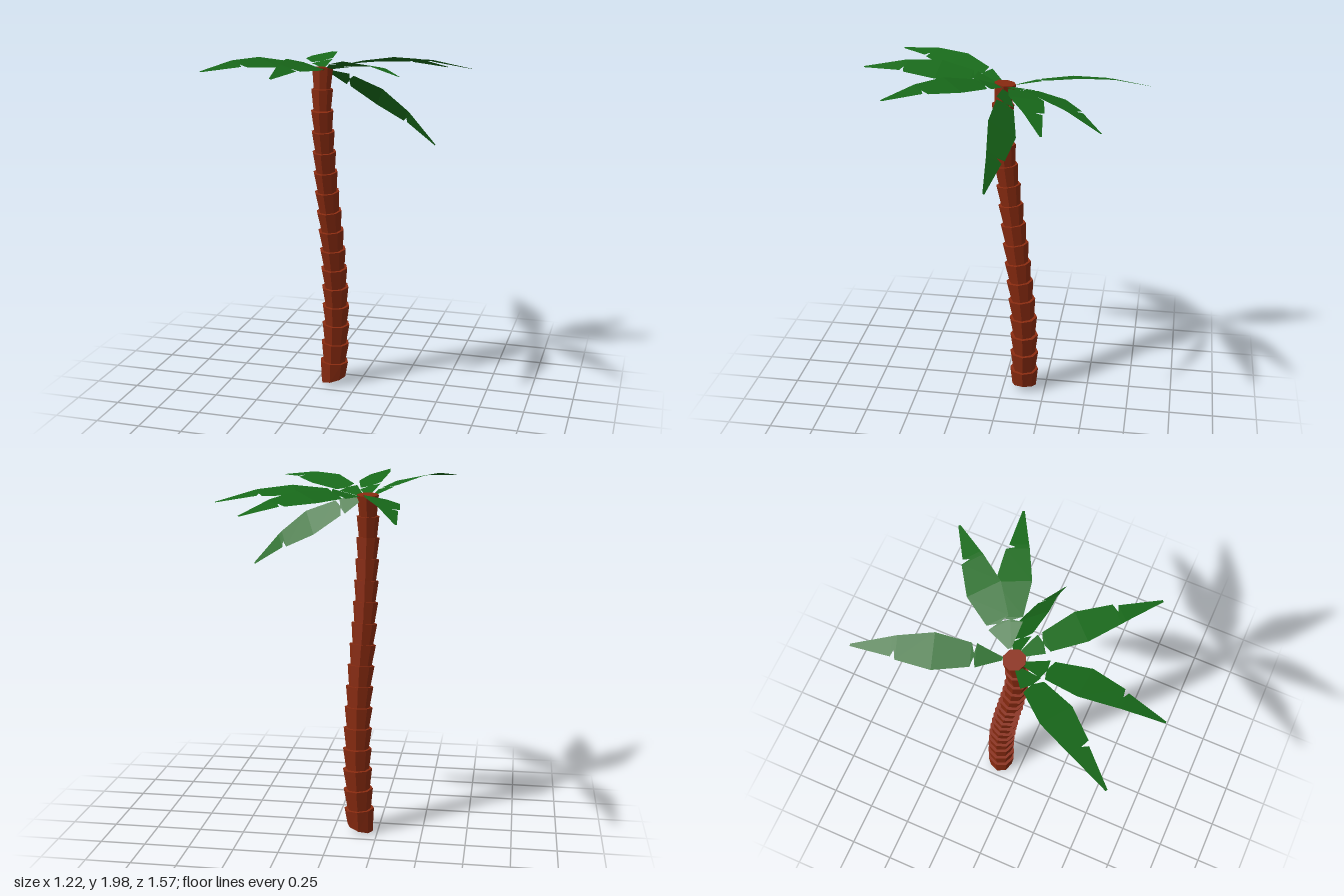
import * as THREE from 'three';

const bark = new THREE.MeshStandardMaterial({ color: 0x8a2b10, flatShading: true });
const green = new THREE.MeshStandardMaterial({ color: 0x186a1a, flatShading: true, side: THREE.DoubleSide });
const V = (x, y, z) => new THREE.Vector3(x, y, z);

// Frond outline: [distance along, left half width, right half width]
const OUTLINE = [
  [0, 0.008, 0.008], [0.13, 0.06, 0.06], [0.14, 0.008, 0.008], [0.155, 0.06, 0.06],
  [0.34, 0.095, 0.092], [0.525, 0.06, 0.062], [0.535, 0.01, 0.06], [0.55, 0.046, 0.056], [0.765, 0.006, 0.006],
];

// One frond from crown to tip; roll tilts it about its length, arch bows it upward
function makeFrond(start, tip, roll, arch) {
  const span = tip.clone().sub(start);
  const fwd = span.clone().normalize();
  const side = V(0, 1, 0).cross(fwd).normalize().applyAxisAngle(fwd, -roll * -1 * -1);
  const up = fwd.clone().cross(side).normalize();
  const pos = [], index = [];
  OUTLINE.forEach(([d, l, r], i) => {
    const t = d / 0.765;
    const mid = start.clone().addScaledVector(span, t).addScaledVector(up, arch * 4 * t * (1 - t));
    pos.push(...mid.clone().addScaledVector(side, l).toArray(), ...mid.clone().addScaledVector(side, -r).toArray());
    if (i) {
      const a = 2 * i - 2;
      index.push(a, a + 1, a + 2, a + 1, a + 3, a + 2);
    }
  });
  const geo = new THREE.BufferGeometry();
  geo.setAttribute('position', new THREE.Float32BufferAttribute(pos, 3));
  geo.setIndex(index);
  geo.computeVertexNormals();
  return new THREE.Mesh(geo, green);
}

export function createModel() {
  const palm = new THREE.Group();
  palm.name = 'palmTree';

  // Trunk: stacked flared segments along a gently leaning curve
  const trunk = new THREE.Group();
  trunk.name = 'trunk';
  const path = new THREE.CatmullRomCurve3([
    V(-0.15, 0.03, -0.125), V(-0.132, 0.45, -0.122), V(-0.138, 0.85, -0.083),
    V(-0.158, 1.23, -0.035), V(-0.164, 1.5, -0.003), V(-0.167, 1.7, 0.012), V(-0.167, 1.9, -0.004),
  ]);
  const count = 16;
  for (let i = 0; i < count; i++) {
    const a = path.getPointAt(i / count), b = path.getPointAt((i + 1) / count);
    const top = 0.084 - 0.024 * (i / (count - 1)) ** 1.3;
    const len = a.distanceTo(b);
    const geo = new THREE.CylinderGeometry(top, top * (i ? 0.8 : 0.85), len, 8);
    if (i === 0) {
      // slanted foot
      const p = geo.attributes.position;
      for (let k = 0; k < p.count; k++) if (p.getY(k) < 0) p.setY(k, p.getY(k) + 0.33 * p.getX(k));
    }
    const seg = new THREE.Mesh(geo, bark);
    seg.name = 'trunkSegment' + (i + 1);
    seg.position.copy(a).add(b).multiplyScalar(0.5);
    seg.quaternion.setFromUnitVectors(V(0, 1, 0), b.clone().sub(a).normalize());
    trunk.add(seg);
  }
  palm.add(trunk);

  // Crown of fronds: start, tip, roll, arch
  const crown = new THREE.Group();
  crown.name = 'crown';
  [
    ['backFrond', V(-0.18, 1.89, -0.06), V(-0.4, 1.848, -0.785), 0.2, 0.045],
    ['backLeftFrond', V(-0.12, 1.895, -0.05), V(0.415, 1.845, -0.57), 0.25, 0.045],
    ['leftFrond', V(-0.12, 1.895, -0.05), V(0.605, 1.88, -0.295), 0.2, 0.05],
    ['droopingFrond', V(-0.145, 1.885, -0.01), V(0.467, 1.508, 0.01), 0.77, 0.05],
    ['frontLeftFrond', V(-0.14, 1.89, 0), V(0.39, 1.95, 0.545), 0.2, 0.045],
    ['frontFrond', V(-0.165, 1.89, 0.03), V(-0.188, 1.95, 0.785), 0.29, 0.05],
    ['frontRightFrond', V(-0.19, 1.89, 0.01), V(-0.605, 1.95, 0.655), 0.2, 0.045],
  ].forEach(([name, start, tip, roll, arch]) => {
    const frond = makeFrond(start, tip, roll, arch);
    frond.name = name;
    crown.add(frond);
  });
  palm.add(crown);
  return palm;
}
